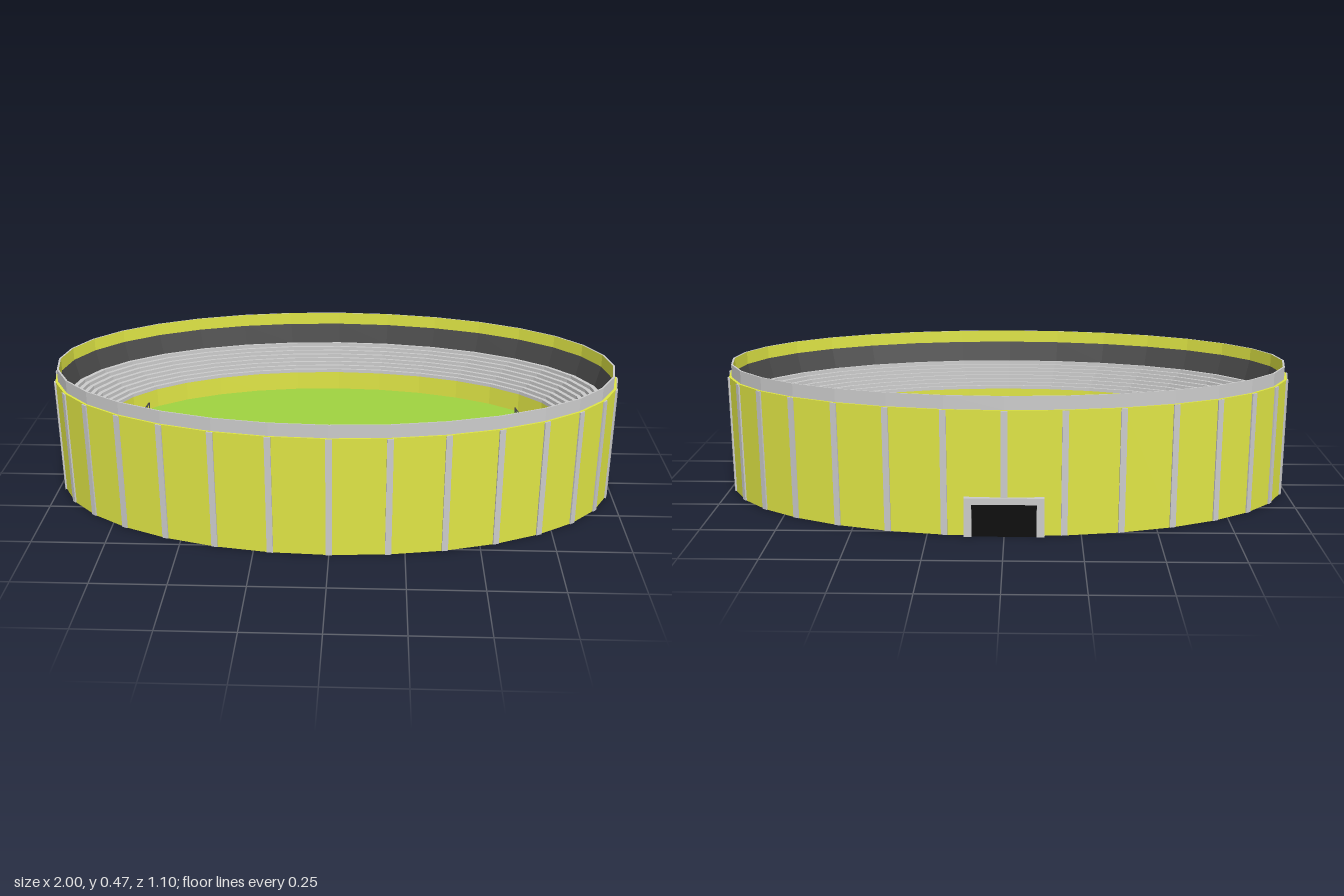
import * as THREE from 'three';

const SIDES = 32;       // facets round the oval
const RATIO = 0.548;    // depth of the oval relative to its width
const CZ = 0.005;       // oval centre in z (the gate sticks out at the back)

const mat = (color) => new THREE.MeshStandardMaterial({ color, flatShading: true });

export function createModel() {
  const model = new THREE.Group();
  const yellow = mat(0xdfe545), grey = mat(0xcccccc), dark = mat(0x4a4a4a);
  const green = mat(0x9fd340), black = mat(0x0a0a0a);

  const add = (name, geometry, material, parent = model) => {
    const mesh = new THREE.Mesh(geometry, material);
    mesh.name = name;
    parent.add(mesh);
    return mesh;
  };

  // Oval ring from a profile of [radius, height] pairs
  const oval = (name, profile, material) => {
    const g = new THREE.LatheGeometry(profile.map(([r, y]) => new THREE.Vector2(r, y)), SIDES);
    g.scale(1, 1, RATIO).translate(0, 0, CZ);
    return add(name, g, material);
  };

  // Shell
  oval('outerWall', [[0, 0], [0.995, 0], [0.995, 0.42], [0.985, 0.42]], yellow);
  oval('rim', [[0.985, 0.42], [0.985, 0.465], [0.978, 0.465]], grey);
  oval('rimLining', [[0.978, 0.465], [0.978, 0.42]], yellow);
  oval('upperInnerWall', [[0.978, 0.42], [0.96, 0.345]], dark);

  // Stepped stands
  const steps = 8, stands = [[0.96, 0.345]];
  for (let i = 1; i <= steps; i++) {
    const r = 0.96 - (0.13 * i) / steps;
    stands.push([r, 0.345 - (0.1 * (i - 1)) / steps], [r, 0.345 - (0.1 * i) / steps]);
  }
  oval('stands', stands, grey);
  oval('pitchWall', [[0.83, 0.245], [0.83, 0.175]], yellow);
  oval('pitch', [[0.83, 0.175], [0, 0.175]], green);

  // Pilaster strips on the facet corners
  const pilasters = new THREE.Group();
  pilasters.name = 'pilasters';
  model.add(pilasters);
  for (let i = 0; i < SIDES; i++) {
    const a = (i / SIDES) * Math.PI * 2;
    const p = add('pilaster', new THREE.BoxGeometry(0.021, 0.418, 0.008), grey, pilasters);
    p.position.set(0.995 * Math.sin(a), 0.21, CZ + 0.995 * RATIO * Math.cos(a));
    p.rotation.y = Math.atan2(Math.sin(a) * RATIO, Math.cos(a));
  }

  // Gate at the back
  const gate = new THREE.Group();
  gate.name = 'gate';
  model.add(gate);
  const frame = new THREE.Shape();
  [[-0.13, 0], [-0.105, 0], [-0.105, 0.11], [0.105, 0.11], [0.105, 0], [0.13, 0], [0.13, 0.132], [-0.13, 0.132]]
    .forEach(([x, y], i) => (i ? frame.lineTo(x, y) : frame.moveTo(x, y)));
  add('gateFrame', new THREE.ExtrudeGeometry(frame, { depth: 0.03, bevelEnabled: false }), grey, gate)
    .position.z = -0.55;
  add('gateOpening', new THREE.BoxGeometry(0.21, 0.11, 0.02), black, gate).position.set(0, 0.055, -0.535);

  // Goals: upright frame with sloping stays to a ground bar
  const goal = (name, x, out) => {
    const g = new THREE.Group();
    g.name = name;
    g.position.set(x, 0.177, 0);
    model.add(g);
    const bar = (part, a, b) => {
      const from = new THREE.Vector3(...a), to = new THREE.Vector3(...b);
      const dir = to.clone().sub(from);
      const m = add(part, new THREE.CylinderGeometry(0.002, 0.002, dir.length(), 6), dark, g);
      m.position.copy(from).lerp(to, 0.5);
      m.quaternion.setFromUnitVectors(new THREE.Vector3(0, 1, 0), dir.normalize());
    };
    const w = 0.08, h = 0.085, d = 0.062 * out;
    for (const z of [-w, w]) {
      bar('post', [0, 0, z], [0, h, z]);
      bar('stay', [0, h, z], [d, 0, z]);
      bar('sideBar', [0, 0, z], [d, 0, z]);
    }
    bar('crossbar', [0, h, -w], [0, h, w]);
    bar('groundBar', [d, 0, -w], [d, 0, w]);
  };
  goal('rightGoal', -0.69, -1);
  goal('leftGoal', 0.658, 1);

  return model;
}
